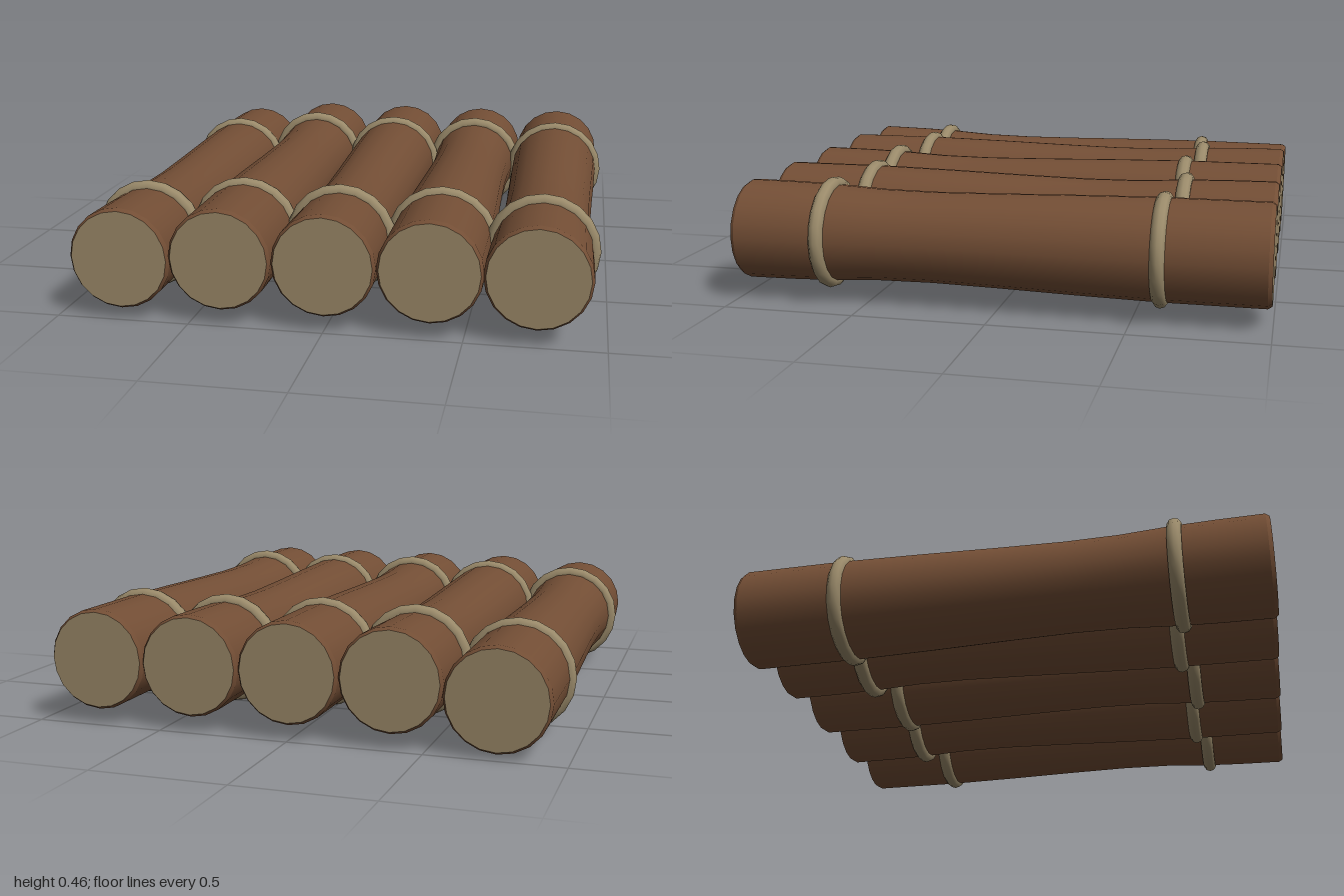
import * as THREE from 'three';

const bark = new THREE.MeshStandardMaterial({ name: 'bark brown', color: 0x734e35 });
const cutWood = new THREE.MeshStandardMaterial({ name: 'cut wood', color: 0x988666 });
const ropeTan = new THREE.MeshStandardMaterial({ name: 'rope tan', color: 0x9a8a6a });

const SIDES = 20;
const END_RADIUS = 0.19;

// Radius along the log, waisted towards the front
const PROFILE = [
  [0.19, -0.98], [0.19, -0.6], [0.184, -0.3], [0.176, 0], [0.171, 0.25],
  [0.173, 0.45], [0.184, 0.65], [0.188, 0.8], [0.19, 0.98],
];

function addMesh(parent, name, geometry, material) {
  const mesh = new THREE.Mesh(geometry, material);
  mesh.name = name;
  parent.add(mesh);
  return mesh;
}

// One log lying along z, with bevelled rims and pale cut ends
function makeLog() {
  const log = new THREE.Group();
  log.name = 'log';
  const points = PROFILE.map(([r, z]) => new THREE.Vector2(r, z));
  addMesh(log, 'trunk', new THREE.LatheGeometry(points, SIDES).rotateX(Math.PI / 2), bark);
  for (const front of [true, false]) {
    const end = new THREE.Group();
    end.name = front ? 'frontEnd' : 'backEnd';
    const rim = new THREE.CylinderGeometry(0.18, END_RADIUS, 0.015, SIDES, 1, true);
    addMesh(end, 'rim', rim.rotateX(Math.PI / 2), bark).position.z = 0.9875;
    // Start angle lines the cap's corners up with the rim
    addMesh(end, 'cutFace', new THREE.CircleGeometry(0.18, SIDES, Math.PI / 2), cutWood).position.z = 0.995;
    if (!front) end.rotation.y = Math.PI;
    log.add(end);
  }
  return log;
}

export function createModel() {
  const raft = new THREE.Group();
  raft.name = 'logRaft';
  [-0.755, -0.38, 0, 0.38, 0.755].forEach((x, i) => {
    const flipped = i % 2 === 1;
    const unit = new THREE.Group();
    unit.name = 'lashedLog' + (i + 1);
    const log = makeLog();
    if (flipped) log.rotation.y = Math.PI; // alternate logs face the other way
    unit.add(log);

    // Rope rings, staggered from log to log
    for (const z of flipped ? [-0.64, 0.62] : [-0.6, 0.655]) {
      const ring = addMesh(unit, 'ropeRing', new THREE.TorusGeometry(0.184, 0.028, 10, SIDES), ropeTan);
      ring.position.z = z;
    }

    // The first log sags a little towards the back
    unit.position.set(x, i === 0 ? 0.222 : 0.25, 0);
    if (i === 0) unit.rotation.x = -0.012;
    raft.add(unit);
  });
  return raft;
}
